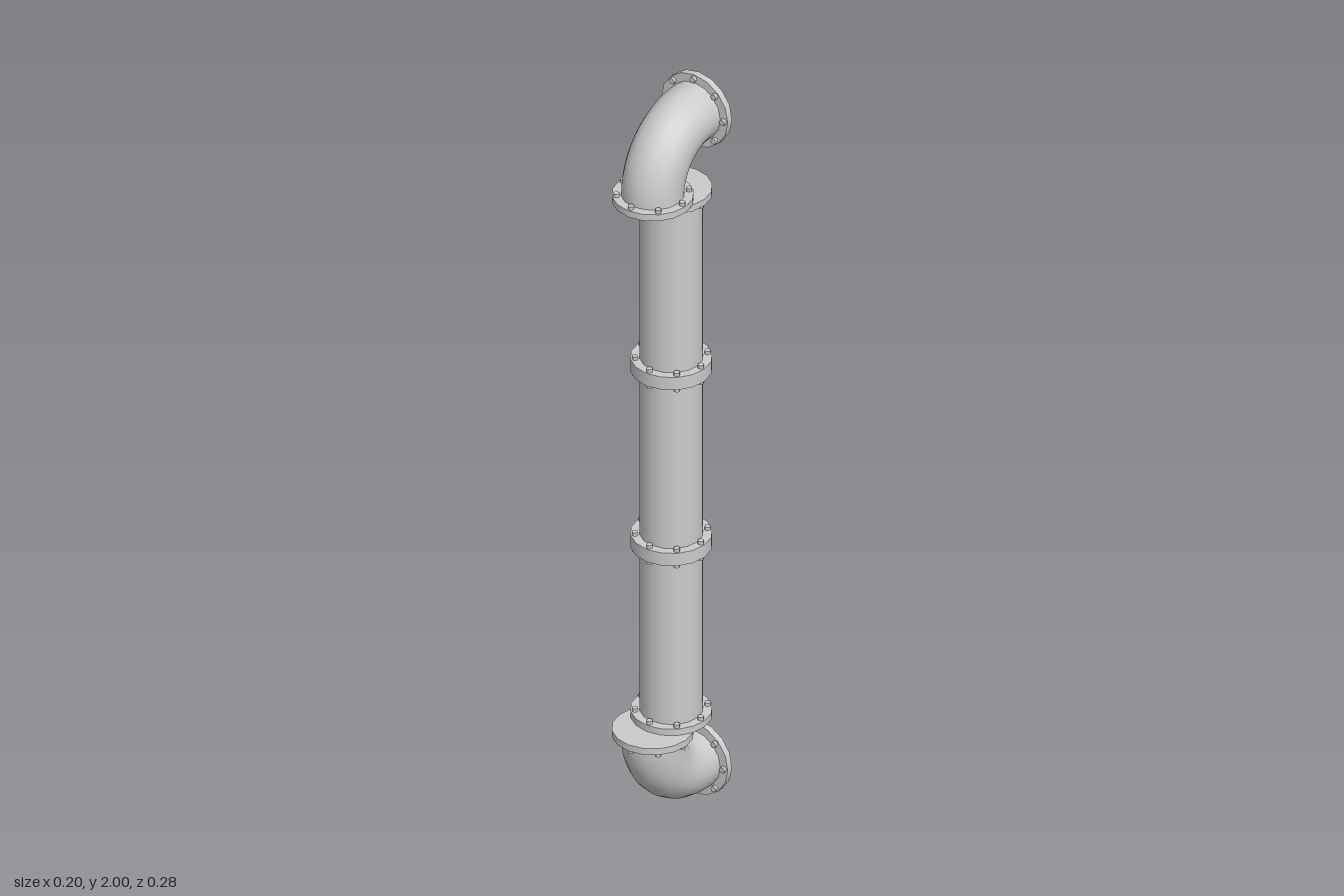
import * as THREE from 'three';

const PIPE_R = 0.076, FLANGE_R = 0.098, FLANGE_T = 0.0175;
const BOLT_R = 0.008, BOLT_H = 0.009, BOLT_RING = 0.087, BOLTS = 8;
const BEND_R = 0.15, SIDES = 16;

const metal = new THREE.MeshStandardMaterial({ color: 0xcccccc });
const openMetal = new THREE.MeshStandardMaterial({ color: 0xcccccc, side: THREE.DoubleSide });

function mesh(name, geometry, material = metal) {
  const m = new THREE.Mesh(geometry, material);
  m.name = name;
  return m;
}

// Closed disc standing on y = 0 with a ring of hexagonal bolts on top
function flange(name) {
  const g = new THREE.Group();
  g.name = name;
  const disc = mesh('flangeDisc', new THREE.CylinderGeometry(FLANGE_R, FLANGE_R, FLANGE_T, SIDES));
  disc.position.y = FLANGE_T / 2;
  g.add(disc);
  const boltGeo = new THREE.CylinderGeometry(BOLT_R, BOLT_R, BOLT_H, 6);
  boltGeo.rotateY(Math.PI / 6);
  for (let i = 0; i < BOLTS; i++) {
    const a = (i / BOLTS) * Math.PI * 2;
    const bolt = mesh('bolt', boltGeo);
    bolt.position.set(Math.sin(a) * BOLT_RING, FLANGE_T + BOLT_H / 2, Math.cos(a) * BOLT_RING);
    g.add(bolt);
  }
  return g;
}

// Straight pipe from y = 0 to y = length with a flange at each end
function straightPipe(length) {
  const g = new THREE.Group();
  g.name = 'straightPipe';
  const tube = mesh('pipe', new THREE.CylinderGeometry(PIPE_R, PIPE_R, length, SIDES, 1, true), openMetal);
  tube.position.y = length / 2;
  const top = flange('topFlange');
  top.rotation.z = Math.PI;
  top.position.y = length;
  g.add(tube, flange('bottomFlange'), top);
  return g;
}

// Elbow rising from y = 0 and turning back towards -z
function elbow(name, height, depth) {
  const g = new THREE.Group();
  g.name = name;
  const bendY = height - BEND_R, bendZ = -BEND_R;

  const bendGeo = new THREE.TorusGeometry(BEND_R, PIPE_R, SIDES, 12, Math.PI / 2);
  bendGeo.rotateY(-Math.PI / 2);
  const bend = mesh('bend', bendGeo, openMetal);
  bend.position.set(0, bendY, bendZ);

  // Short straight collars at both ends of the bend
  const lower = mesh('lowerCollar', new THREE.CylinderGeometry(PIPE_R, PIPE_R, bendY, SIDES, 1, true), openMetal);
  lower.position.y = bendY / 2;
  const run = depth - BEND_R;
  const backGeo = new THREE.CylinderGeometry(PIPE_R, PIPE_R, run, SIDES, 1, true);
  backGeo.rotateX(Math.PI / 2);
  const back = mesh('backCollar', backGeo, openMetal);
  back.position.set(0, height, bendZ - run / 2);

  const backFlange = flange('backFlange');
  backFlange.rotation.x = Math.PI / 2;
  backFlange.position.set(0, height, -depth);

  g.add(bend, lower, back, flange('jointFlange'), backFlange);
  return g;
}

export function createModel() {
  const model = new THREE.Group();
  model.name = 'pipeRun';

  const height = 0.167, depth = 0.184;
  const bottomY = FLANGE_R + height, topY = 2 - bottomY;
  const elbowZ = 0.043, pipeZ = -0.031;

  // Three stacked straight lengths
  const count = 3, length = (topY - bottomY) / count;
  for (let i = 0; i < count; i++) {
    const pipe = straightPipe(length);
    pipe.position.set(0, bottomY + i * length, pipeZ);
    model.add(pipe);
  }

  // Elbows at both ends, the bottom one turned upside down
  const top = elbow('topElbow', height, depth);
  top.position.set(0, topY, elbowZ);
  const bottom = elbow('bottomElbow', height, depth);
  bottom.rotation.z = Math.PI;
  bottom.position.set(0, bottomY, elbowZ);
  model.add(top, bottom);

  return model;
}
